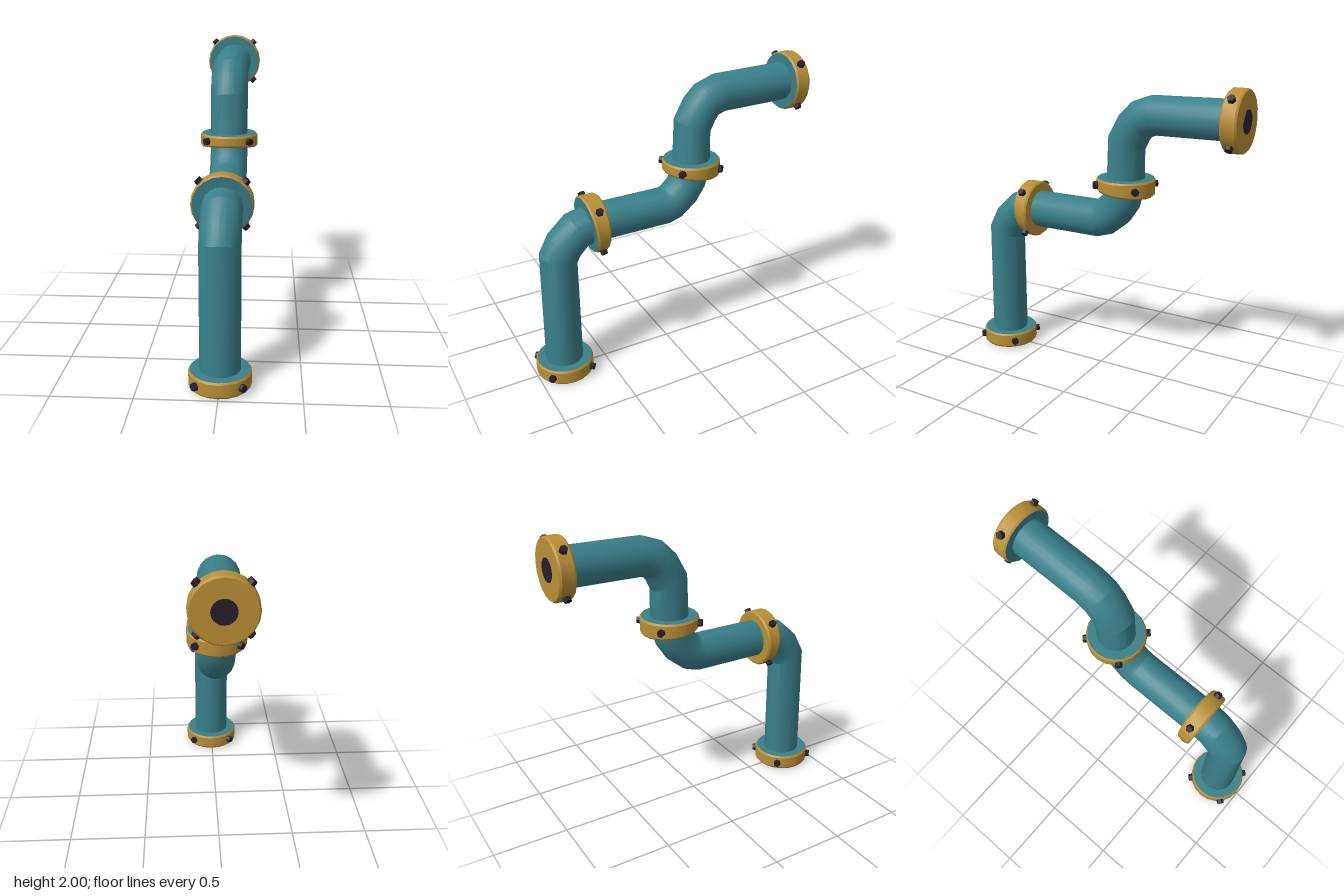
import * as THREE from 'three';
import { toCreasedNormals } from 'three/addons/utils/BufferGeometryUtils.js';

const SIDES = 20;
const rad = THREE.MathUtils.degToRad;

// Rings lie across a path in the yz plane: angle 0 heads to the back, 90 heads up.
function frame(angle) {
  const a = rad(angle);
  return {
    across: new THREE.Vector3(0, Math.cos(a), Math.sin(a)),
    along: new THREE.Vector3(0, Math.sin(a), -Math.cos(a)),
  };
}

function radial(angle, theta) {
  return frame(angle).across.multiplyScalar(Math.cos(theta))
    .add(new THREE.Vector3(Math.sin(theta), 0, 0));
}

// Skin over a list of rings [z, y, angle, radius]
function sweep(name, rings, material) {
  const pos = [], index = [];
  rings.forEach(([z, y, angle, r], i) => {
    for (let j = 0; j < SIDES; j++) {
      const p = radial(angle, (j / SIDES) * Math.PI * 2).multiplyScalar(r);
      pos.push(p.x, p.y + y, p.z + z);
      if (i === rings.length - 1) continue;
      const k = (j + 1) % SIDES;
      const a = i * SIDES + j, b = i * SIDES + k;
      const c = b + SIDES, d = a + SIDES;
      if (r > 0) index.push(a, b, c);
      if (rings[i + 1][3] > 0) index.push(a, c, d);
      else if (r > 0) index.splice(index.length - 3, 3, a, b, d);
    }
  });
  const geo = new THREE.BufferGeometry();
  geo.setAttribute('position', new THREE.Float32BufferAttribute(pos, 3));
  geo.setIndex(index);
  const mesh = new THREE.Mesh(toCreasedNormals(geo, 0.42), material);
  mesh.name = name;
  return mesh;
}

// Shift a ring along its own direction and give it a radius
function ringAt([z, y, angle], shift, r) {
  const t = frame(angle).along.multiplyScalar(shift);
  return [z + t.z, y + t.y, angle, r];
}

export function createModel() {
  const model = new THREE.Group();
  model.name = 'pipeRun';
  const teal = new THREE.MeshStandardMaterial({ color: 0x39808a });
  const brass = new THREE.MeshStandardMaterial({ color: 0xb98f35 });
  const dark = new THREE.MeshStandardMaterial({ color: 0x281e2b });
  teal.name = 'teal paint';
  brass.name = 'brass';
  dark.name = 'dark iron';

  // Pipe with three bends: [z, y, angle]
  const path = [
    [0.799, 0.06, 90], [0.791, 0.88, 71], [0.747, 0.963, 51], [0.655, 1.05, 28],
    [0.55, 1.073, 6], [0.02, 1.075, 5], [-0.038, 1.095, 24], [-0.117, 1.163, 45],
    [-0.16, 1.229, 65], [-0.186, 1.32, 84], [-0.19, 1.611, 69], [-0.243, 1.711, 49],
    [-0.296, 1.768, 30], [-0.385, 1.8, 9], [-0.93, 1.808, 0],
  ];
  model.add(sweep('pipe', path.map((p) => [...p, 0.127]), teal));

  // Flanges run from the start ring to the end ring; one face is painted teal
  const flanges = [
    { name: 'baseFlange', start: [0.799, 0.005, 90], end: [0.799, 0.109, 90], painted: 'end', hole: 'start' },
    { name: 'lowerFlange', start: [0.588, 1.07, 6.5], end: [0.493, 1.07, 0], painted: 'start' },
    { name: 'middleFlange', start: [-0.183, 1.286, 84], end: [-0.186, 1.381, 90], painted: 'end' },
    { name: 'topFlange', start: [-0.88, 1.807, 0], end: [-0.984, 1.807, 0], painted: 'start', hole: 'end' },
  ];
  for (const { name, start, end, painted, hole } of flanges) {
    const g = new THREE.Group();
    g.name = name;
    const faceR = 0.186, rimR = 0.195, bevel = 0.012;

    // Bevelled rim
    g.add(sweep('rim', [
      ringAt(start, 0, faceR), ringAt(start, bevel, rimR),
      ringAt(end, -bevel, rimR), ringAt(end, 0, faceR),
    ], brass));

    // Flat faces
    const startMat = painted === 'start' ? teal : brass;
    const endMat = painted === 'end' ? teal : brass;
    g.add(sweep('startFace', [ringAt(start, 0, 0), ringAt(start, 0, faceR)], startMat));
    g.add(sweep('endFace', [ringAt(end, 0, faceR), ringAt(end, 0, 0)], endMat));

    // Dark opening at the free ends
    if (hole === 'start') {
      g.add(sweep('opening', [ringAt(start, -0.005, 0), ringAt(start, -0.005, 0.073), ringAt(start, 0, 0.073)], dark));
    } else if (hole === 'end') {
      g.add(sweep('opening', [ringAt(end, 0, 0.073), ringAt(end, 0.005, 0.073), ringAt(end, 0.005, 0)], dark));
    }

    // Four hex bolts on the diagonals
    const mid = start.map((v, i) => (v + end[i]) / 2);
    for (let k = 0; k < 4; k++) {
      const dir = radial(mid[2], Math.PI / 4 + (k * Math.PI) / 2);
      const bolt = new THREE.Mesh(new THREE.CylinderGeometry(0.024, 0.028, 0.045, 6), dark);
      bolt.geometry = toCreasedNormals(bolt.geometry, 0.42);
      bolt.name = 'bolt';
      bolt.quaternion.setFromUnitVectors(new THREE.Vector3(0, 1, 0), dir);
      bolt.position.set(0, mid[1], mid[0]).addScaledVector(dir, 0.197);
      g.add(bolt);
    }
    model.add(g);
  }
  return model;
}
